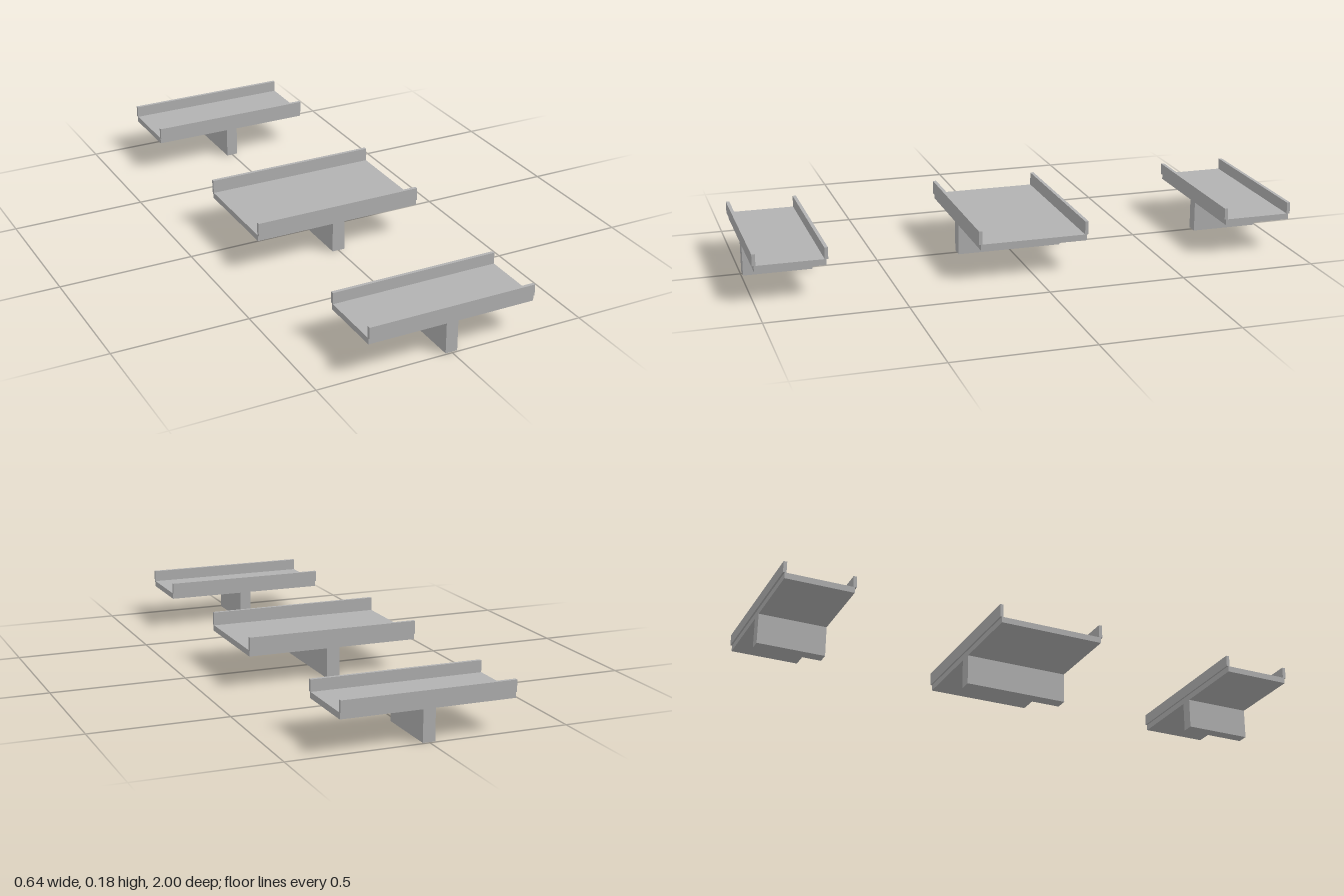
import * as THREE from 'three';

const concrete = new THREE.MeshStandardMaterial({ color: 0xb2b2b2 });
concrete.name = 'concreteGrey';

const DECK_BOTTOM = 0.113;
const DECK_TOP = 0.135;
const RAIL_DEPTH = 0.0125;

// Box spanning y0..y1, centred on x = 0
function slab(name, width, y0, y1, depth, z = 0) {
  const mesh = new THREE.Mesh(new THREE.BoxGeometry(width, y1 - y0, depth), concrete);
  mesh.name = name;
  mesh.position.set(0, (y0 + y1) / 2, z);
  return mesh;
}

// One bridge span: pier wall, deck and two parapets straddling the deck edges
function bridge({ name, z, width, depth, pierWidth, railTop }) {
  const group = new THREE.Group();
  group.name = name;
  group.position.z = z;
  group.add(slab('pier', pierWidth, 0, DECK_BOTTOM, depth));
  group.add(slab('deck', width, DECK_BOTTOM, DECK_TOP, depth));
  for (const side of [1, -1]) {
    const label = side > 0 ? 'frontParapet' : 'backParapet';
    group.add(slab(label, width, DECK_TOP, railTop, RAIL_DEPTH, side * depth / 2));
  }
  return group;
}

export function createModel() {
  const model = new THREE.Group();
  model.name = 'bridgeSpans';
  const small = { width: 0.622, depth: 0.25, pierWidth: 0.044, railTop: 0.177 };
  model.add(bridge({ name: 'frontBridge', z: 0.869, ...small }));
  model.add(bridge({ name: 'middleBridge', z: 0, width: 0.645, depth: 0.394, pierWidth: 0.048, railTop: 0.184 }));
  model.add(bridge({ name: 'backBridge', z: -0.869, ...small }));
  return model;
}
